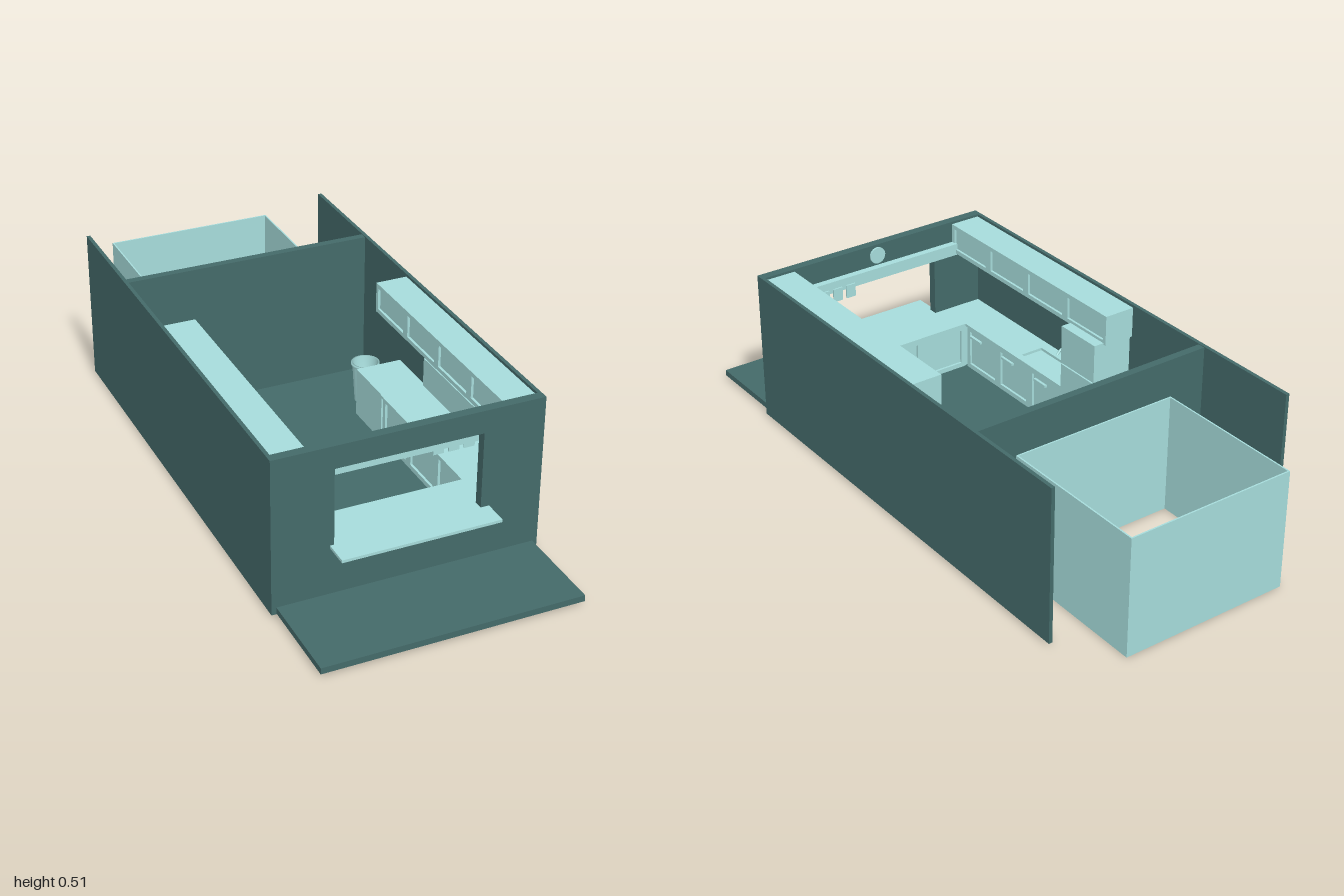
import * as THREE from 'three';

const dark = new THREE.MeshStandardMaterial({ color: 0x446a69, side: THREE.DoubleSide });
const light = new THREE.MeshStandardMaterial({ color: 0xa6dcdb, side: THREE.DoubleSide });

export function createModel() {
  const model = new THREE.Group();

  const add = (name, geo, mat, parent = model) => {
    const m = new THREE.Mesh(geo, mat);
    m.name = name;
    parent.add(m);
    return m;
  };
  // Box given by its minimum and maximum corners
  const block = (name, mat, x0, x1, y0, y1, z0, z1, parent = model) => {
    const m = add(name, new THREE.BoxGeometry(x1 - x0, y1 - y0, z1 - z0), mat, parent);
    m.position.set((x0 + x1) / 2, (y0 + y1) / 2, (z0 + z1) / 2);
    return m;
  };
  const rect = (T, x0, x1, y0, y1) => {
    const s = new T();
    s.moveTo(x0, y0);
    s.lineTo(x1, y0);
    s.lineTo(x1, y1);
    s.lineTo(x0, y1);
    s.closePath();
    return s;
  };
  // Frame with a row of openings, drawn in xy and extruded along z
  const frame = (x0, x1, y0, y1, holes, depth) => {
    const s = rect(THREE.Shape, x0, x1, y0, y1);
    for (const h of holes) s.holes.push(rect(THREE.Path, ...h));
    return new THREE.ExtrudeGeometry(s, { depth, bevelEnabled: false });
  };
  const doorFrame = (w, h, n, edge) => {
    const holes = [];
    const step = w / n;
    for (let i = 0; i < n; i++) {
      const a = -w / 2 + i * step;
      holes.push([a + edge, a + step - edge, edge, h - edge]);
    }
    return frame(-w / 2, w / 2, 0, h, holes, 0.008);
  };

  // Shell: floor, side walls, back wall, front wall with serving window
  block('floor', dark, -0.412, 0.412, 0.007, 0.025, -0.485, 0.7);
  for (const s of [-1, 1]) {
    block('sideWall', dark, s * 0.417 - 0.006, s * 0.417 + 0.006, 0.007, 0.513, -0.835, 0.7);
  }
  block('backWall', dark, -0.411, 0.411, 0.02, 0.511, -0.485, -0.46);
  add('frontWall', frame(-0.412, 0.412, 0.007, 0.513, [[-0.232, 0.229, 0.19, 0.44]], 0.03), dark)
    .position.z = 0.67;
  block('frontPlatform', dark, -0.408, 0.408, 0.01, 0.03, 0.7, 1);
  block('servingShelf', light, -0.245, 0.256, 0.184, 0.193, 0.66, 0.78);

  // Open box behind the back wall, without floor or lid
  const rear = add('rearBox', frame(-0.283, 0.283, 0.49, 1, [[-0.278, 0.278, 0.495, 0.995]], 0.39), light);
  rear.rotation.x = -Math.PI / 2;
  rear.position.y = 0;

  // Wall cabinets with four recessed doors on each side
  for (const s of [-1, 1]) {
    const g = new THREE.Group();
    g.name = 'wallCabinet';
    model.add(g);
    block('cabinetBody', light, Math.min(s * 0.313, s * 0.41), Math.max(s * 0.313, s * 0.41), 0.405, 0.505, -0.155, 0.67, g);
    const f = add('cabinetDoors', doorFrame(0.825, 0.1, 4, 0.014), light, g);
    f.rotation.y = -s * Math.PI / 2;
    f.position.set(s * 0.313, 0.405, 0.2575);
  }

  // Base cabinets and worktop forming a U
  block('rightBase', light, -0.41, -0.285, 0.004, 0.184, 0.02, 0.545);
  block('leftBase', light, 0.268, 0.41, 0.004, 0.184, 0, 0.545);
  block('leftEndUnit', light, 0.255, 0.41, 0.004, 0.19, -0.185, -0.002);
  block('frontBase', light, -0.41, 0.41, 0.025, 0.184, 0.56, 0.67);
  const sink = [-0.375, -0.295];
  block('leftWorktop', light, 0.25, 0.41, 0.184, 0.193, 0, 0.545);
  block('frontWorktop', light, -0.41, 0.41, 0.184, 0.193, 0.545, 0.67);
  const top = add('rightWorktop',
    frame(-0.41, -0.27, -0.545, -0.02, [[...sink, -0.26, -0.04]], 0.009), light);
  top.rotation.x = -Math.PI / 2;
  top.position.y = 0.184;
  const baseDoors = [
    ['rightDoors', 0.525, 3, Math.PI / 2, -0.285, 0.2825],
    ['leftDoors', 0.545, 3, -Math.PI / 2, 0.268, 0.2725],
    ['frontDoors', 0.53, 3, Math.PI, -0.008, 0.56],
  ];
  for (const [name, w, n, turn, x, z] of baseDoors) {
    const f = add(name, doorFrame(w, 0.155, n, 0.016), light);
    f.rotation.y = turn;
    f.position.set(x, 0.028, z);
  }
  for (const z of [0.1, 0.28, 0.46]) block('doorHandle', light, -0.277, -0.268, 0.15, 0.158, z, z + 0.06);

  // Tap beside the sink
  const tapPath = new THREE.CatmullRomCurve3([
    [-0.39, 0.19, 0.15], [-0.39, 0.225, 0.15], [-0.375, 0.238, 0.15], [-0.355, 0.222, 0.15],
  ].map((p) => new THREE.Vector3(...p)));
  add('tap', new THREE.TubeGeometry(tapPath, 16, 0.004, 8), light);

  // Tall fridge with two doors
  block('fridgeBody', light, -0.41, -0.28, 0.008, 0.41, -0.145, 0.02);
  block('fridgeLowerDoor', light, -0.28, -0.27, 0.028, 0.275, -0.145, 0.02);
  block('fridgeUpperDoor', light, -0.28, -0.27, 0.28, 0.41, -0.145, 0.02);

  // Panel on the wall above the left worktop
  block('splashPanel', light, 0.4, 0.41, 0.193, 0.29, 0, 0.67);

  // Rail over the window with hanging tickets
  block('ticketRail', light, -0.31, 0.305, 0.4, 0.44, 0.647, 0.67);
  for (const x of [0.115, 0.164, 0.213]) block('ticket', light, x - 0.017, x + 0.017, 0.37, 0.415, 0.641, 0.646);

  // Round wall clock above the rail
  const clock = add('clock', new THREE.CylinderGeometry(0.028, 0.028, 0.008, 24), light);
  clock.rotation.x = Math.PI / 2;
  clock.position.set(-0.006, 0.476, 0.667);

  // Tapered bin, open at the top
  const binProfile = [[0, 0.026], [0.03, 0.026], [0.041, 0.16], [0.047, 0.16], [0.047, 0.152], [0.043, 0.152], [0.034, 0.02]];
  add('bin', new THREE.LatheGeometry(binProfile.map((p) => new THREE.Vector2(...p)), 24), light)
    .position.set(0.322, 0.005, -0.26);

  // The rear box outline runs toward -z after the turn
  return model;
}
